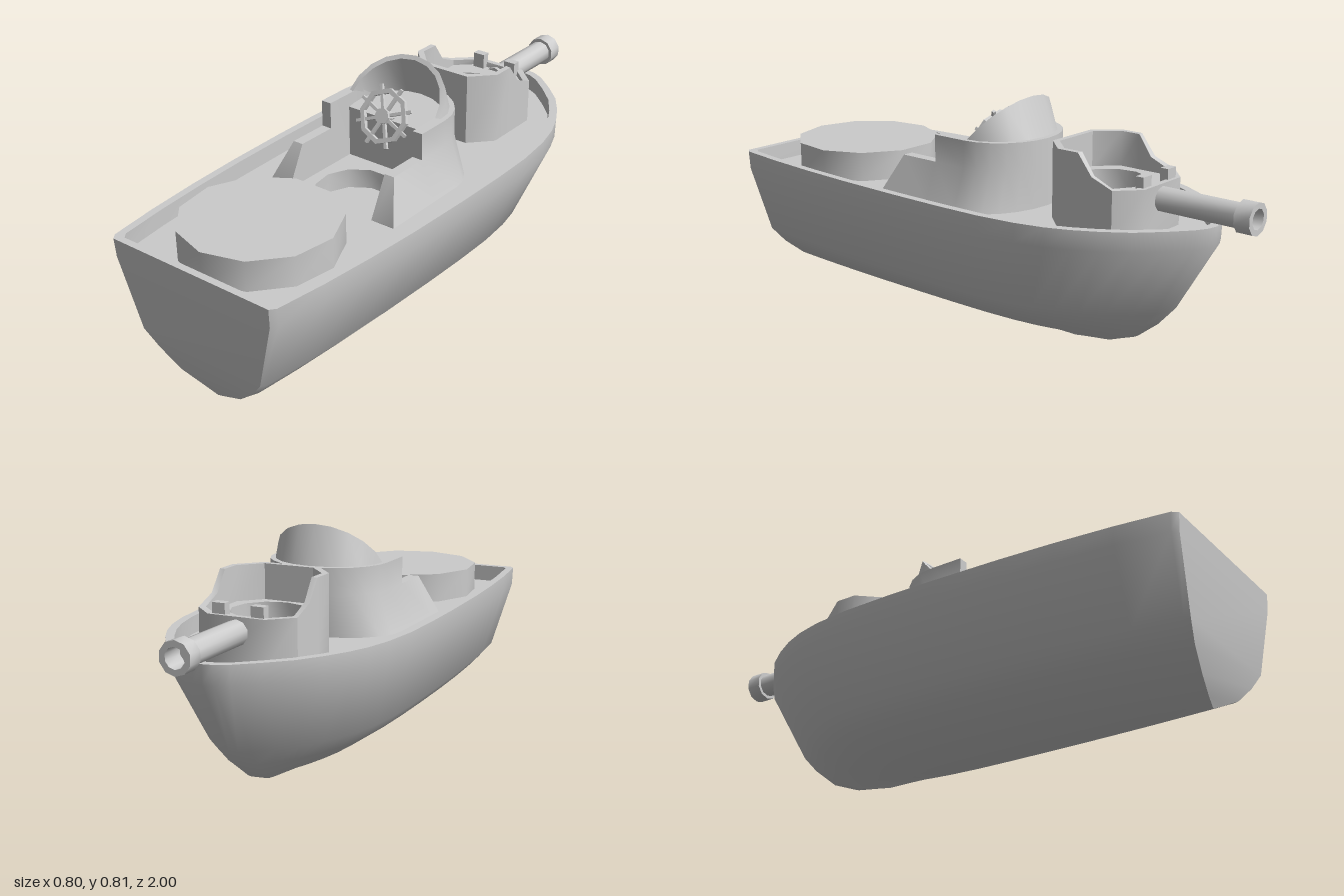
import * as THREE from 'three';
import { toCreasedNormals } from 'three/addons/utils/BufferGeometryUtils.js';

const DECK = 0.44;

// Skin a list of closed rings of [x, y, z] points, optionally capping both ends
function loft(rings, { capped = false, crease = 0.76 } = {}) {
  const pos = [];
  const tri = (a, b, c) => {
    const [A, B, C] = [a, b, c].map((p) => new THREE.Vector3(...p));
    if (B.sub(A).cross(C.sub(A)).length() > 1e-8) pos.push(...a, ...b, ...c);
  };
  for (let i = 0; i < rings.length - 1; i++) {
    const r = rings[i], s = rings[i + 1], n = r.length;
    for (let j = 0; j < n; j++) {
      const k = (j + 1) % n;
      tri(r[j], r[k], s[k]);
      tri(r[j], s[k], s[j]);
    }
  }
  if (capped) {
    const first = rings[0], last = rings[rings.length - 1];
    for (let j = 1; j < first.length - 1; j++) {
      tri(first[0], first[j + 1], first[j]);
      tri(last[0], last[j], last[j + 1]);
    }
  }
  const g = new THREE.BufferGeometry();
  g.setAttribute('position', new THREE.Float32BufferAttribute(pos, 3));
  return toCreasedNormals(g, crease);
}

export function createModel() {
  const model = new THREE.Group();
  const mat = new THREE.MeshStandardMaterial({ color: 0xcccccc, side: THREE.DoubleSide });
  const add = (name, geo, x = 0, y = 0, z = 0, parent = model) => {
    const m = new THREE.Mesh(geo, mat);
    m.name = name;
    m.position.set(x, y, z);
    parent.add(m);
    return m;
  };
  const cyl = (rt, rb, h, n, open = false) =>
    toCreasedNormals(new THREE.CylinderGeometry(rt, rb, h, n, 1, open), 0.7);

  // Plan outline of the hull: half width fraction and z, stern to bow
  const half = [[0.8, 1], [0.84, 0.98], [0.9, 0.8], [0.945, 0.6], [0.975, 0.4], [0.995, 0.15],
    [1, -0.05], [0.99, -0.22], [0.95, -0.36], [0.89, -0.46], [0.81, -0.54], [0.7, -0.62],
    [0.56, -0.7], [0.38, -0.77], [0.2, -0.83], [0.09, -0.853]];
  const outline = [...half, [0, -0.86], ...half.map(([w, z]) => [-w, z]).reverse()];
  const level = (y, w, bow, stern) =>
    outline.map(([f, z]) => [f * w, y, bow + ((z + 0.86) / 1.86) * (stern - bow)]);

  // Hull shell with gunwale and inner bulwark
  const deckRing = level(DECK, 0.372, -0.83, 0.975);
  add('hull', loft([
    level(0, 0, -0.32, 0.915), level(0.022, 0.06, -0.47, 0.925), level(0.062, 0.16, -0.575, 0.945),
    level(0.125, 0.25, -0.655, 0.962), level(0.185, 0.31, -0.71, 0.978),
    level(0.435, 0.398, -0.857, 0.996), level(0.5, 0.4, -0.86, 1),
    level(0.5, 0.372, -0.83, 0.975), deckRing,
  ]));

  // Horizontal floor with a round sunken well
  function floorWithWell(name, points, y, wellZ, r, depth) {
    const shape = new THREE.Shape(points.map(([x, , z]) => new THREE.Vector2(x, -z)));
    const ring = [];
    for (let i = 0; i < 11; i++) {
      const a = (i / 11) * Math.PI * 2;
      ring.push(new THREE.Vector2(Math.sin(a) * r, -wellZ - Math.cos(a) * r));
    }
    shape.holes.push(new THREE.Path(ring));
    add(name, new THREE.ShapeGeometry(shape).rotateX(-Math.PI / 2), 0, y, 0);
    add(name + 'WellWall', cyl(r, r, depth, 11, true), 0, y - depth / 2, wellZ);
    add(name + 'WellBottom', new THREE.CircleGeometry(r, 22).rotateX(-Math.PI / 2), 0, y - depth, wellZ);
  }
  floorWithWell('deck', deckRing, DECK, 0.215, 0.14, 0.07);

  // Round platform on the aft deck
  add('aftPlatform', cyl(0.265, 0.265, 0.105, 11), 0, DECK + 0.0525, 0.682);

  // U-shaped cockpit wall with low flared arms
  const section = (h, c, zi, zo) => {
    const mid = Math.min(h, 0.58);
    const flare = 0.265 - ((mid - DECK) / 0.14) * 0.052;
    return [[0.175 * c, DECK, zi], [0.175 * c, h, zi], [flare * c, h, zo],
      [flare * c, mid, zo], [0.265 * c, DECK, zo]];
  };
  const arm = [[0.442, 0.35], [0.58, 0.28], [0.58, 0.13], [0.675, 0.13]];
  const armSections = (side) => arm.map(([h, z]) => section(h, side, z, z));
  const bend = [];
  for (let i = 0; i <= 12; i++) {
    const a = (i / 12) * Math.PI, s = Math.sin(a);
    bend.push(section(0.675, Math.cos(a), -0.16 * s, -0.192 * s));
  }
  add('cockpitWall', loft([...armSections(1), ...bend, ...armSections(-1).reverse()], { capped: true, crease: 0.6 }));

  // Leaning curved windscreen
  const screen = [];
  for (let i = 0; i <= 10; i++) {
    const a = (i / 10) * Math.PI, c = Math.cos(a), s = Math.sin(a);
    screen.push([[0.177 * c, 0.65, -0.155 * s], [0.177 * c, 0.672 + 0.125 * s, 0.01 - 0.125 * s],
      [0.195 * c, 0.675 + 0.135 * s, -0.125 * s], [0.2 * c, 0.65, -0.18 * s]]);
  }
  add('windscreen', loft(screen, { capped: true, crease: 0.6 }));

  // Dashboard filling the bend, its top rising toward the bow
  const dashPlan = [[0.176, 0.03]];
  for (let i = 0; i <= 10; i++) {
    const a = (i / 10) * Math.PI;
    dashPlan.push([0.176 * Math.cos(a), -0.165 * Math.sin(a)]);
  }
  dashPlan.push([-0.176, 0.03]);
  const dashRing = (f) => dashPlan.map(([x, z]) => [x, f(z), z]);
  add('dashboard', loft([dashRing(() => DECK), dashRing((z) => 0.625 + (0.03 - z) * 0.17)], { capped: true }));

  // Steering wheel: octagonal rim, hub and eight spokes
  const wheel = new THREE.Group();
  wheel.name = 'steeringWheel';
  wheel.position.set(0, 0.65, 0.058);
  wheel.rotation.x = -0.44;
  model.add(wheel);
  const octagon = (r) => Array.from({ length: 8 }, (_, i) =>
    new THREE.Vector2(Math.cos((i * Math.PI) / 4) * r, Math.sin((i * Math.PI) / 4) * r));
  const rim = new THREE.Shape(octagon(0.098));
  rim.holes.push(new THREE.Path(octagon(0.081)));
  add('wheelRim', new THREE.ExtrudeGeometry(rim, { depth: 0.016, bevelEnabled: false }), 0, 0, -0.008, wheel);
  add('wheelHub', cyl(0.028, 0.028, 0.03, 8).rotateX(Math.PI / 2), 0, 0, 0, wheel);
  for (let i = 0; i < 8; i++) {
    const a = ((i + 0.5) * Math.PI) / 4;
    const spoke = add('wheelSpoke', new THREE.BoxGeometry(0.09, 0.011, 0.011),
      Math.cos(a) * 0.067, Math.sin(a) * 0.067, 0, wheel);
    spoke.rotation.z = a;
  }
  add('steeringColumn', cyl(0.012, 0.012, 0.06, 8).rotateX(Math.PI / 2), 0, 0, -0.03, wheel);

  // Gun tub: octagonal wall, high aft and stepped down toward the bow
  const side = [[0.1, -0.29], [0.175, -0.37], [0.175, -0.45], [0.175, -0.505], [0.175, -0.585], [0.1, -0.655]];
  const tub = [...side, ...side.map(([x, z]) => [-x, z]).reverse()];
  const top = (z) => (z > -0.46 ? 0.7 : z > -0.52 ? 0.63 : 0.6);
  const tubRing = (f, k = 1) => tub.map(([x, z]) => [x * k, f(z), -0.4725 + (z + 0.4725) * k]);
  const TUB_FLOOR = 0.58;
  add('gunTub', loft([tubRing(() => DECK), tubRing(top), tubRing(top, 0.89), tubRing(() => TUB_FLOOR, 0.89)]));
  floorWithWell('gunTubFloor', tubRing(() => TUB_FLOOR, 0.89), TUB_FLOOR, -0.45, 0.125, 0.1);

  // Gun shield blocks either side of the barrel
  for (const s of [1, -1]) {
    add('gunShield', new THREE.BoxGeometry(0.045, 0.075, 0.03), s * 0.068, 0.5975, -0.628);
  }

  // Barrel with a hollow muzzle, revolved around z
  const profile = [[0, 0], [0.042, 0], [0.042, 0.325], [0.054, 0.325], [0.054, 0.38], [0.034, 0.38], [0.034, 0.3], [0, 0.3]]
    .map(([r, y]) => new THREE.Vector2(r, y));
  add('gunBarrel', toCreasedNormals(new THREE.LatheGeometry(profile, 10).rotateX(-Math.PI / 2), 0.7), 0, 0.55, -0.62);

  return model;
}
